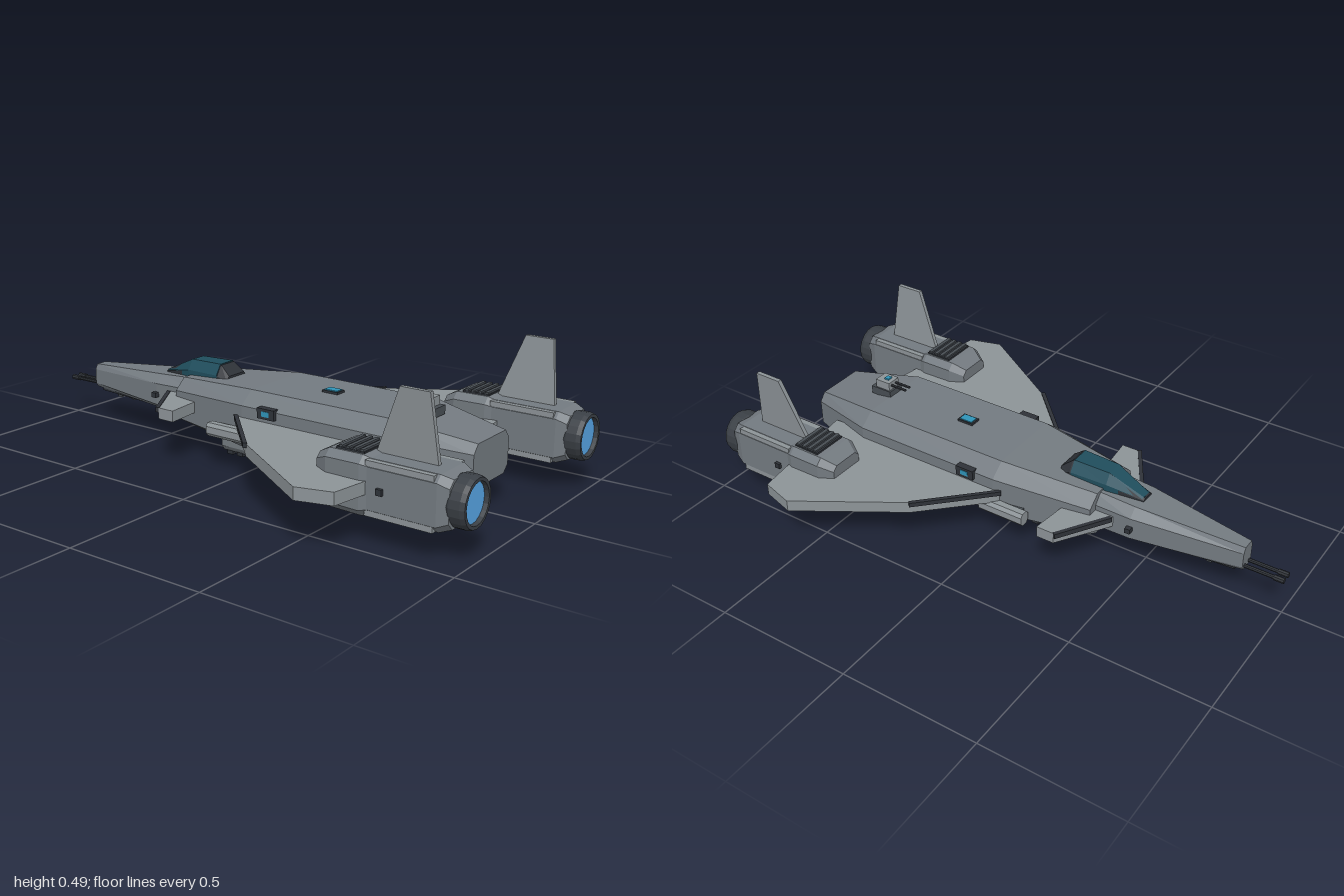
import * as THREE from 'three';

const mat = (color, extra = {}) => {
  const m = new THREE.MeshStandardMaterial({ flatShading: true, ...extra });
  m.color.set(color);
  return m;
};
const HULL = mat(0x737a80), PLATE = mat(0x8c9397), DARK = mat(0x2e3238), TRIM = mat(0x484e54);
const GLOW = mat(0x58a6e6), GLASS = mat(0x1f4d5c), LAMP = mat(0x2f94b8);
const NOZZLE = mat(0x3a3f45, { side: THREE.DoubleSide });

export function createModel() {
  const root = new THREE.Group();

  const add = (name, geo, material, parent = root) => {
    const m = new THREE.Mesh(geo, material);
    m.name = name;
    parent.add(m);
    return m;
  };
  const box = (name, material, w, h, d, x, y, z, parent) =>
    add(name, new THREE.BoxGeometry(w, h, d).translate(x, y, z), material, parent);
  const rod = (name, material, r, z0, z1, x, y, sides = 8, parent) =>
    add(name, new THREE.CylinderGeometry(r, r, z1 - z0, sides).rotateX(Math.PI / 2)
      .translate(x, y, (z0 + z1) / 2), material, parent);

  // Chamfered eight-sided cross-section, counterclockwise seen from +z
  const oct = (z, w, wi, y0, y1, y2, y3, cx = 0) => [
    [-wi, y0], [wi, y0], [w, y1], [w, y2], [wi, y3], [-wi, y3], [-w, y2], [-w, y1],
  ].map(([x, y]) => [x + cx, y, z]);

  // Skin joining cross-sections from low z to high z, with end caps
  const loft = (name, sections, material, parent) => {
    const pos = [], n = sections[0].length;
    const tri = (a, b, c) => pos.push(...a, ...b, ...c);
    for (let k = 0; k + 1 < sections.length; k++) {
      const s = sections[k], t = sections[k + 1];
      for (let i = 0; i < n; i++) {
        const j = (i + 1) % n;
        tri(s[i], s[j], t[j]);
        tri(s[i], t[j], t[i]);
      }
    }
    const s = sections[0], e = sections[sections.length - 1];
    for (let i = 1; i + 1 < n; i++) {
      tri(s[0], s[i + 1], s[i]);
      tri(e[0], e[i], e[i + 1]);
    }
    const g = new THREE.BufferGeometry();
    g.setAttribute('position', new THREE.Float32BufferAttribute(pos, 3));
    g.computeVertexNormals();
    return add(name, g, material, parent);
  };

  // Flat plate from an (x, z) outline
  const plate = (name, pts, yTop, thick, material) => {
    const shape = new THREE.Shape(pts.map(p => new THREE.Vector2(...p)));
    const g = new THREE.ExtrudeGeometry(shape, { depth: thick, bevelEnabled: false });
    return add(name, g.rotateX(Math.PI / 2).translate(0, yTop, 0), material);
  };
  // Thin bar along a leading edge
  const edge = (name, a, b, y, h) => {
    const dx = b[0] - a[0], dz = b[1] - a[1];
    const g = new THREE.BoxGeometry(0.014, h, Math.hypot(dx, dz));
    g.rotateY(Math.atan2(dx, dz)).translate((a[0] + b[0]) / 2, y, (a[1] + b[1]) / 2);
    add(name, g, DARK);
  };

  // Fuselage and nose
  loft('fuselage', [
    oct(-0.35, 0.135, 0.09, 0.1, 0.125, 0.225, 0.265),
    oct(0, 0.195, 0.14, 0.07, 0.11, 0.245, 0.29),
    oct(0.57, 0.195, 0.14, 0.07, 0.11, 0.245, 0.29),
    oct(0.84, 0.115, 0.09, 0.105, 0.13, 0.22, 0.25),
  ], HULL);
  loft('nose', [
    oct(-0.86, 0.032, 0.022, 0.13, 0.145, 0.2, 0.22),
    oct(-0.48, 0.097, 0.065, 0.118, 0.14, 0.22, 0.25),
    oct(-0.3, 0.1, 0.07, 0.112, 0.14, 0.225, 0.262),
  ], HULL);
  loft('noseGunBay', [
    oct(-0.83, 0.024, 0.02, 0.118, 0.12, 0.13, 0.14),
    oct(-0.46, 0.05, 0.045, 0.112, 0.115, 0.13, 0.14),
  ], DARK);
  for (let i = 0; i < 4; i++) box('noseGunBayRib', TRIM, 0.05, 0.008, 0.02, 0, 0.113, -0.74 + i * 0.07);

  // Canopy frame and glass
  const canopy = (name, grow, zs, material) => loft(name, zs.map(([z, w, wi, y]) =>
    oct(z, w, wi, 0.22, 0.23, y - (y - 0.25) * 0.55 + grow, y + grow)), material);
  canopy('canopyFrame', 0, [[-0.49, 0.026, 0.018, 0.258], [-0.36, 0.052, 0.032, 0.315],
    [-0.22, 0.058, 0.036, 0.318], [-0.18, 0.056, 0.042, 0.285]], DARK);
  canopy('canopyGlass', 0.003, [[-0.485, 0.025, 0.017, 0.258], [-0.36, 0.053, 0.031, 0.315],
    [-0.225, 0.059, 0.035, 0.318]], GLASS);

  // Dorsal light
  box('dorsalLightBase', DARK, 0.042, 0.01, 0.062, 0, 0.293, 0.24);
  box('dorsalLight', LAMP, 0.032, 0.01, 0.05, 0, 0.296, 0.24);

  // Belly pod with louvres
  loft('bellyPod', [
    oct(-0.2, 0.062, 0.05, 0.012, 0.03, 0.08, 0.12),
    oct(0.04, 0.066, 0.055, 0.012, 0.03, 0.08, 0.1),
  ], HULL);
  box('bellyPodStep', TRIM, 0.08, 0.05, 0.04, 0, 0.085, -0.21);
  for (let i = 0; i < 5; i++) box('bellyLouvre', DARK, 0.106, 0.014, 0.026, 0, 0.007, -0.17 + i * 0.045);

  // Turrets above and below the tail
  for (const [name, y0, d] of [['topTurret', 0.285, 1], ['bellyTurret', 0.075, -1]]) {
    const t = new THREE.Group();
    t.name = name;
    root.add(t);
    box('turretBase', TRIM, 0.066, 0.03, 0.085, 0, y0 + d * 0.012, 0.61, t);
    box('turretHead', PLATE, 0.054, 0.032, 0.06, 0, y0 + d * 0.042, 0.605, t);
    box('turretSensor', LAMP, 0.02, 0.008, 0.018, 0, y0 + d * 0.06, 0.6, t);
    for (const s of [-1, 1]) rod('turretBarrel', DARK, 0.005, 0.51, 0.6, s * 0.012, y0 + d * 0.044, 6, t);
  }

  for (const s of [-1, 1]) {
    const side = s > 0 ? 'left' : 'right';
    const flip = pts => pts.map(([x, z]) => [s * x, z]);

    // Main wing and forward wing with dark leading edges
    plate(side + 'Wing', flip([[0.12, -0.06], [0.2, -0.02], [0.41, 0.19], [0.632, 0.54],
      [0.598, 0.66], [0.16, 0.725]]), 0.204, 0.042, PLATE);
    edge(side + 'WingEdge', ...flip([[0.19, -0.03], [0.415, 0.19]]), 0.2, 0.016);
    plate(side + 'Canard', flip([[0.06, -0.44], [0.11, -0.41], [0.283, -0.3], [0.283, -0.235],
      [0.14, -0.25], [0.06, -0.25]]), 0.204, 0.04, PLATE);
    edge(side + 'CanardEdge', ...flip([[0.105, -0.413], [0.285, -0.303]]), 0.197, 0.018);

    // Nose cannon and side sensors
    rod(side + 'Cannon', DARK, 0.007, -0.99, -0.82, s * 0.017, 0.144);
    rod(side + 'CannonMuzzle', DARK, 0.01, -1, -0.965, s * 0.017, 0.144);
    box(side + 'NoseSensor', DARK, 0.03, 0.018, 0.02, s * 0.1, 0.18, -0.48);
    box(side + 'SideLightBase', DARK, 0.03, 0.036, 0.07, s * 0.193, 0.237, 0.11);
    box(side + 'SideLight', LAMP, 0.006, 0.018, 0.03, s * 0.207, 0.237, 0.11);

    // Cheek gun pod
    loft(side + 'GunPod', [
      oct(-0.135, 0.022, 0.012, 0.118, 0.13, 0.154, 0.166, s * 0.203),
      oct(0.04, 0.022, 0.012, 0.118, 0.13, 0.154, 0.166, s * 0.203),
    ], PLATE);
    box(side + 'GunPodMount', TRIM, 0.09, 0.035, 0.13, s * 0.165, 0.142, -0.05);

    // Engine nacelle
    const engine = new THREE.Group();
    engine.name = side + 'Engine';
    root.add(engine);
    const ex = s * 0.38, ey = 0.182;
    const ring = (z, r, c, dy = 0) => oct(z, r, c, ey - r, ey - c, ey + c, ey + r + dy, ex);
    loft('intakeBlock', [ring(0.49, 0.066, 0.048), ring(0.54, 0.093, 0.07),
      ring(0.66, 0.095, 0.072), ring(0.685, 0.086, 0.066)], HULL, engine);
    loft('nacelle', [ring(0.66, 0.087, 0.066), ring(0.915, 0.087, 0.066),
      ring(0.95, 0.075, 0.052)], HULL, engine);
    for (const q of [-1, 1]) for (const p of [-1, 1])
      box('cornerRail', PLATE, 0.03, 0.03, 0.23, ex + q * 0.071, ey + p * 0.071, 0.79, engine);

    // Vent slats
    box('ventBed', DARK, 0.13, 0.02, 0.1, ex, 0.272, 0.61, engine);
    for (let i = 0; i < 4; i++)
      box('ventSlat', TRIM, 0.126, 0.01, 0.013, ex, 0.283, 0.574 + i * 0.025, engine);

    // Nozzle and exhaust glow
    const prof = [[0.07, 0.92], [0.082, 0.95], [0.082, 0.985], [0.077, 1], [0.066, 1], [0.062, 0.965]];
    add('nozzle', new THREE.LatheGeometry(prof.map(p => new THREE.Vector2(...p)), 20)
      .rotateX(Math.PI / 2).translate(ex, ey, 0), NOZZLE, engine);
    add('exhaustGlow', new THREE.CircleGeometry(0.065, 20).translate(ex, ey, 0.985), GLOW, engine);

    // Small fittings on the nacelle
    box('sideFitting', DARK, 0.016, 0.02, 0.02, ex + s * 0.09, ey, 0.73, engine);
    box('bellyFitting', DARK, 0.02, 0.016, 0.02, ex, 0.091, 0.73, engine);

    // Tail fin, leaning slightly outward
    const fin = new THREE.ExtrudeGeometry(new THREE.Shape([[0.655, 0.25], [0.875, 0.25],
      [0.848, 0.487], [0.747, 0.487]].map(p => new THREE.Vector2(...p))),
    { depth: 0.015, bevelEnabled: false }).rotateY(-Math.PI / 2).translate(0.0075, 0, 0);
    const p = fin.attributes.position;
    for (let i = 0; i < p.count; i++)
      p.setX(i, p.getX(i) + s * (0.376 + (p.getY(i) - 0.25) * 0.085));
    fin.computeVertexNormals();
    add('tailFin', fin, PLATE, engine);
  }
  return root;
}
